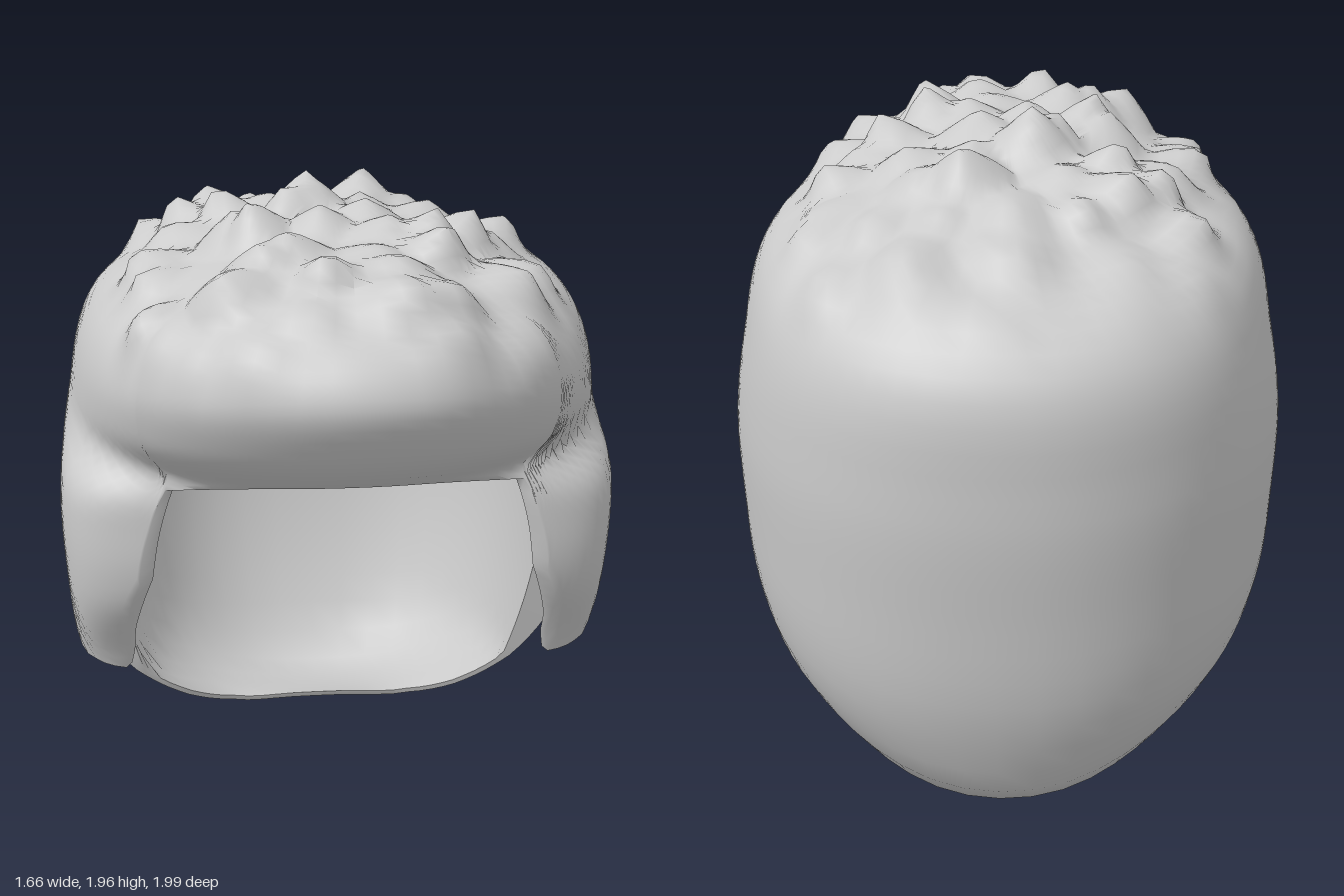
import * as THREE from 'three';
import { toCreasedNormals } from 'three/addons/utils/BufferGeometryUtils.js';

const CENTRE = new THREE.Vector3(0, 1, 0);
const DEG = 180 / Math.PI;

// Radius profiles as [angle down from the crown, radius]
const BACK = [[0, .85], [14, .85], [41, .91], [56, 1.02], [67, 1.065], [84, 1.0], [107, .996],
  [131, 1.13], [143.7, 1.215], [149, 1.165], [154, 1.1], [160, 1.015], [180, .98]];
const SIDE = [[0, .85], [20, .88], [40, .92], [52, .93], [69, .855], [90, .83], [104, .844],
  [120, .91], [129, .95], [137, .975], [149, 1.0], [160, 1.025], [180, .98]];
const FRONT = [[0, .85], [19, .9], [37, 1.06], [50, 1.16], [60, 1.15], [66, 1.0], [69, .88],
  [73, .62], [80, .55], [97, .53], [105, .51], [124, .4], [180, .4]];

// Half hairline, forehead to nape: fringe, sideburn, ear notch, neck
const HAIRLINE = [[0, 1.19, .56], [.3, 1.19, .56], [.5, 1.17, .5], [.56, 1, .5], [.6, .87, .5],
  [.63, .68, .39], [.65, .51, .3], [.76, .52, .29], [.79, .6, .15], [.8, .7, .09], [.81, .76, .03],
  [.81, .75, -.05], [.78, .6, -.12], [.72, .42, -.16], [.61, .26, -.2], [.45, .11, -.28],
  [.3, .05, -.35], [0, .05, -.35]];

// Smooth interpolation through a table
function lookup(table, x) {
  let i = 1;
  while (i < table.length - 1 && table[i][0] < x) i++;
  const slope = k => {
    const a = table[Math.max(k - 1, 0)], b = table[Math.min(k + 1, table.length - 1)];
    return (b[1] - a[1]) / (b[0] - a[0]);
  };
  const [x0, y0] = table[i - 1], [x1, y1] = table[i], w = x1 - x0;
  const t = THREE.MathUtils.clamp((x - x0) / w, 0, 1), u = 1 - t;
  return u * u * (1 + 2 * t) * y0 + t * t * (1 + 2 * u) * y1 + w * t * u * (u * slope(i - 1) - t * slope(i));
}

function seeded(seed) {
  return () => {
    seed = (seed * 16807) % 2147483647;
    return seed / 2147483647;
  };
}

// Tips of the tousled tufts, scattered over the crown
function makeTufts() {
  const rand = seeded(77), tufts = [];
  for (let x = -.5; x <= .51; x += .2) {
    for (let z = -.8; z <= .85; z += .18) {
      tufts.push({
        x: x + (rand() - .5) * .16, z: z + (rand() - .5) * .16,
        r: .11 + rand() * .06, h: (.05 + rand() * .09) * (z < -.3 ? .75 : 1),
      });
    }
  }
  return tufts;
}

// Superellipse radius for a given azimuth
function blend(az, rx, rz, n) {
  return Math.pow(Math.pow(Math.abs(Math.sin(az)) / rx, n) + Math.pow(Math.abs(Math.cos(az)) / rz, n), -1 / n);
}

function outerRadius(az, phi) {
  const d = phi * DEG, front = Math.cos(az) > 0;
  // Rounded quiff above, squared temples below
  const n = front
    ? 2 + 3.5 * THREE.MathUtils.smoothstep(d, 69, 84)
    : 2 + .2 * THREE.MathUtils.smoothstep(d, 30, 60) * (1 - THREE.MathUtils.smoothstep(d, 125, 150));
  return blend(az, lookup(SIDE, d), lookup(front ? FRONT : BACK, d), n);
}

function innerRadius(az, phi, outer) {
  const front = Math.cos(az) > 0;
  const h = blend(az, .7, front ? .6 : .92, front ? 3 : 2.6);
  const v = phi < Math.PI / 2 ? .76 : 1.5;
  const r = 1 / Math.hypot(Math.sin(phi) / h, Math.cos(phi) / v);
  return Math.min(r, outer - .02);
}

// Subdivide the half hairline and mirror it into a closed loop of directions
function makeColumns() {
  const half = [];
  const pts = HAIRLINE.map(p => new THREE.Vector3(...p).sub(CENTRE));
  for (let i = 0; i < pts.length - 1; i++) {
    const steps = Math.ceil(pts[i].distanceTo(pts[i + 1]) / .05);
    for (let k = 0; k < steps; k++) half.push(pts[i].clone().lerp(pts[i + 1], k / steps));
  }
  half.push(pts[pts.length - 1]);
  const left = half.map((p, i) => ({
    az: Math.atan2(p.x, p.z), phi: Math.acos(p.y / p.length()), even: Math.PI * i / (half.length - 1),
  }));
  const right = left.slice(1, -1).reverse().map(c => ({ az: -c.az, phi: c.phi, even: -c.even }));
  return [...left, ...right];
}

function hairGeometry() {
  const columns = makeColumns(), tufts = makeTufts();
  const ROWS = 44, rows = 2 * ROWS + 2, n = columns.length;
  const positions = [], index = [];

  // One sheet: down the outside, across the rim, back up the inside
  for (let i = 0; i < rows; i++) {
    const inside = i > ROWS;
    const s = (inside ? rows - 1 - i : i) / ROWS;
    for (const column of columns) {
      // Evenly spread at the crown, easing into the hairline
      const az = THREE.MathUtils.lerp(column.even, column.az, THREE.MathUtils.smoothstep(s, 0, 1));
      const phi = s * THREE.MathUtils.lerp(1.75, column.phi, s);
      const dir = new THREE.Vector3().setFromSphericalCoords(1, phi, az);
      let r = outerRadius(az, phi);
      if (inside) {
        r = innerRadius(az, phi, r);
      } else {
        // Raise pointed tufts on top, fading towards the sides
        const x = dir.x * r, z = dir.z * r;
        const fade = (1 - THREE.MathUtils.smoothstep(phi * DEG, 46, 64))
          * (1 - THREE.MathUtils.smoothstep(Math.abs(x), .5, .7));
        let lift = 0;
        for (const t of tufts) lift = Math.max(lift, t.h * (1 - Math.hypot(x - t.x, z - t.z) / t.r));
        r += (lift - .025) * fade;
      }
      dir.multiplyScalar(r).add(CENTRE);
      positions.push(dir.x, dir.y, dir.z);
    }
  }
  for (let i = 0; i < rows - 1; i++) {
    for (let j = 0; j < n; j++) {
      const k = (j + 1) % n;
      const a = i * n + j, b = a + n, c = (i + 1) * n + k, d = i * n + k;
      // The first and last rows close on a pole
      if (i === 0) index.push(a, b, c);
      else if (i === rows - 2) index.push(a, b, d);
      else index.push(a, b, c, a, c, d);
    }
  }
  const geometry = new THREE.BufferGeometry();
  geometry.setAttribute('position', new THREE.Float32BufferAttribute(positions, 3));
  geometry.setIndex(index);
  return toCreasedNormals(geometry, 1.2);
}

export function createModel() {
  const group = new THREE.Group();
  group.name = 'hairpiece';
  const material = new THREE.MeshStandardMaterial({ color: 0xcccccc, side: THREE.DoubleSide });
  const hair = new THREE.Mesh(hairGeometry(), material);
  hair.name = 'hairShell';
  group.add(hair);
  return group;
}
